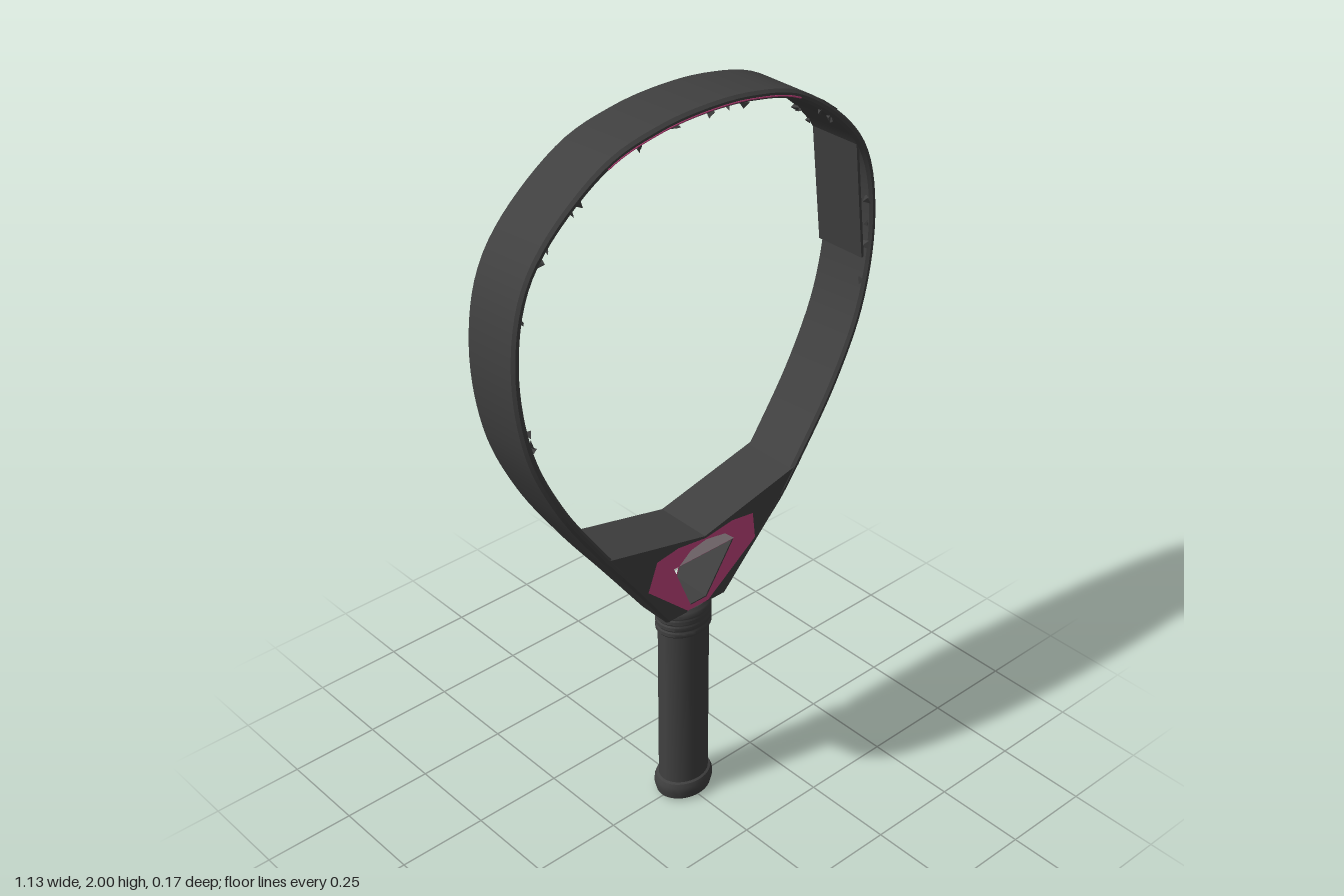
import * as THREE from 'three';
import { toCreasedNormals } from 'three/addons/utils/BufferGeometryUtils.js';

const mat = (name, color) => Object.assign(new THREE.MeshStandardMaterial({ color }), { name });

// half depth of the racket at height y: full in the hoop, tapering down the throat
const halfDepth = y => THREE.MathUtils.clamp(0.052 + (y - 0.62) * 0.122, 0.05, 0.081);

// outer outline, from the lower left of the throat over the top to the lower right
const side = [[0.098, 0.622], [0.22, 0.79], [0.335, 0.945], [0.455, 1.13], [0.535, 1.315],
  [0.564, 1.53], [0.535, 1.71], [0.465, 1.82], [0.29, 1.95], [0.14, 1.99]];
const outline = new THREE.CatmullRomCurve3([
  ...side.map(([x, y]) => new THREE.Vector3(-x, y, 0)),
  new THREE.Vector3(0, 2, 0),
  ...side.slice().reverse().map(([x, y]) => new THREE.Vector3(x, y, 0)),
]);
outline.arcLengthDivisions = 800;

// bevelled band swept along the outline between t0 and t1, from inset u0 to u1
function band(t0, t1, u0, u1, extra, bevel, steps) {
  const pos = [], index = [];
  for (let i = 0; i <= steps; i++) {
    const t = t0 + (t1 - t0) * i / steps;
    const p = outline.getPointAt(t), d = outline.getTangentAt(t);
    const h = halfDepth(p.y) + extra, b = bevel;
    const section = [[u0, b - h], [u0, h - b], [u0 + b, h], [u1 - b, h],
      [u1, h - b], [u1, b - h], [u1 - b, -h], [u0 + b, -h]];
    for (const [u, z] of section) pos.push(p.x + d.y * u, p.y - d.x * u, z);
  }
  for (let i = 0; i < steps; i++) {
    for (let j = 0; j < 8; j++) {
      const a = i * 8 + j, b = i * 8 + (j + 1) % 8;
      index.push(a, b, b + 8, a, b + 8, a + 8);
    }
  }
  const e = steps * 8;
  for (let j = 1; j < 7; j++) index.push(0, j + 1, j, e, e + j, e + j + 1);
  const g = new THREE.BufferGeometry();
  g.setAttribute('position', new THREE.Float32BufferAttribute(pos, 3));
  g.setIndex(index);
  return toCreasedNormals(g, 0.5);
}

function polygon(points, hole) {
  const v = list => list.map(([x, y]) => new THREE.Vector2(x, y));
  const s = new THREE.Shape(v(points));
  if (hole) s.holes.push(new THREE.Path(v(hole)));
  return s;
}

// moves each vertex to the depth rule of the throat
function shapeDepth(g, rule) {
  const p = g.attributes.position;
  for (let i = 0; i < p.count; i++) p.setZ(i, rule(p.getY(i), p.getZ(i)));
  g.computeVertexNormals();
  return g;
}

export function createModel() {
  const dark = mat('darkGrey', 0x404040);
  const pink = mat('pink', 0xc4447f);
  const pale = mat('paleGrey', 0xc4b2ba);
  const paleSheet = pale, pinkSheet = pink;
  paleSheet.side = pinkSheet.side = THREE.DoubleSide;

  const group = new THREE.Group();
  const add = (name, geometry, material) => {
    const m = new THREE.Mesh(geometry, material);
    m.name = name;
    group.add(m);
    return m;
  };

  // hoop, with a thin coloured line on both edges at the top
  add('hoop', band(0, 1, 0, 0.022, 0, 0.007, 120), dark);
  add('topLine', band(0.42, 0.58, 0.013, 0.017, 0.001, 0.001, 30), pink);

  // throat: two wings over a tapering block with a triangular opening
  const opening = [[-0.1, 0.805], [0.1, 0.805], [0.027, 0.65], [-0.027, 0.65]];
  const shapes = [
    polygon([[-0.262, 0.86], [-0.088, 0.627], [0.088, 0.627], [0.262, 0.86]], opening),
    polygon([[0, 0.86], [0.262, 0.86], [0.322, 0.935]]),
    polygon([[0, 0.86], [-0.322, 0.935], [-0.262, 0.86]]),
  ];
  const block = new THREE.ExtrudeGeometry(shapes, { depth: 1, bevelEnabled: false });
  add('throat', shapeDepth(block, (y, z) => (z - 0.5) * 2 * (halfDepth(y) - 0.001)), dark);

  // painted surround and the pale panel above the opening, on both faces
  const surround = polygon([[-0.035, 0.634], [0.035, 0.634], [0.18, 0.77], [0.16, 0.858],
    [0.09, 0.868], [0, 0.856], [-0.09, 0.868], [-0.16, 0.858], [-0.18, 0.77]], opening);
  const panel = polygon([[-0.085, 0.808], [0.1, 0.808], [0.065, 0.84], [0, 0.853], [-0.05, 0.842]]);
  for (const s of [1, -1]) {
    const end = s > 0 ? 'front' : 'back';
    const plate = (shape, lift) =>
      shapeDepth(new THREE.ShapeGeometry(shape), y => halfDepth(y) + lift);
    const a = add(end + 'Surround', plate(surround, 0.002), pinkSheet);
    const b = add(end + 'Panel', plate(panel, 0.004), paleSheet);
    if (s < 0) a.rotation.y = b.rotation.y = Math.PI;
  }

  // oval handle with butt cap and ringed collar
  const turned = (name, profile) => {
    const g = new THREE.LatheGeometry(profile.map(([r, y]) => new THREE.Vector2(r, y)), 40);
    g.scale(1, 1, 0.81);
    add(name, toCreasedNormals(g, 0.6), dark);
  };
  turned('grip', [[0.072, 0.04], [0.072, 0.56]]);
  turned('buttCap', [[0, 0], [0.07, 0], [0.079, 0.007], [0.085, 0.03], [0.084, 0.045],
    [0.079, 0.056], [0.07, 0.06]]);
  const collar = [[0.07, 0.547]];
  for (let i = 0; i < 4; i++) {
    const y = 0.548 + i * 0.019;
    collar.push([0.076, y], [0.079, y + 0.004], [0.079, y + 0.014], [0.076, y + 0.018]);
  }
  collar.push([0.07, 0.632], [0, 0.632]);
  turned('collar', collar);

  // flat inner panel and small raised tab on the upper left of the hoop
  const inner = add('innerPanel', new THREE.BoxGeometry(0.008, 0.32, 0.146), dark);
  inner.position.set(0.508, 1.605, 0);
  inner.rotation.z = 0.12;
  const tab = add('rimTab', new THREE.BoxGeometry(0.06, 0.012, 0.15), dark);
  tab.position.set(0.385, 1.884, 0);
  tab.rotation.z = -0.64;

  // ragged chips along the inner edge of both faces
  let seed = 7;
  const rnd = () => (seed = (seed * 16807) % 2147483647) / 2147483647;
  for (let i = 0; i < 44; i++) {
    const t = 0.22 + 0.56 * rnd();
    const p = outline.getPointAt(t), d = outline.getTangentAt(t);
    const chip = add('edgeChip', new THREE.TetrahedronGeometry(0.009 + 0.008 * rnd()), dark);
    chip.position.set(p.x + d.y * 0.025, p.y - d.x * 0.025, i % 2 ? 0.07 : -0.07);
    chip.rotation.set(rnd() * 6, rnd() * 6, rnd() * 6);
    chip.scale.z = 0.5;
  }
  return group;
}
